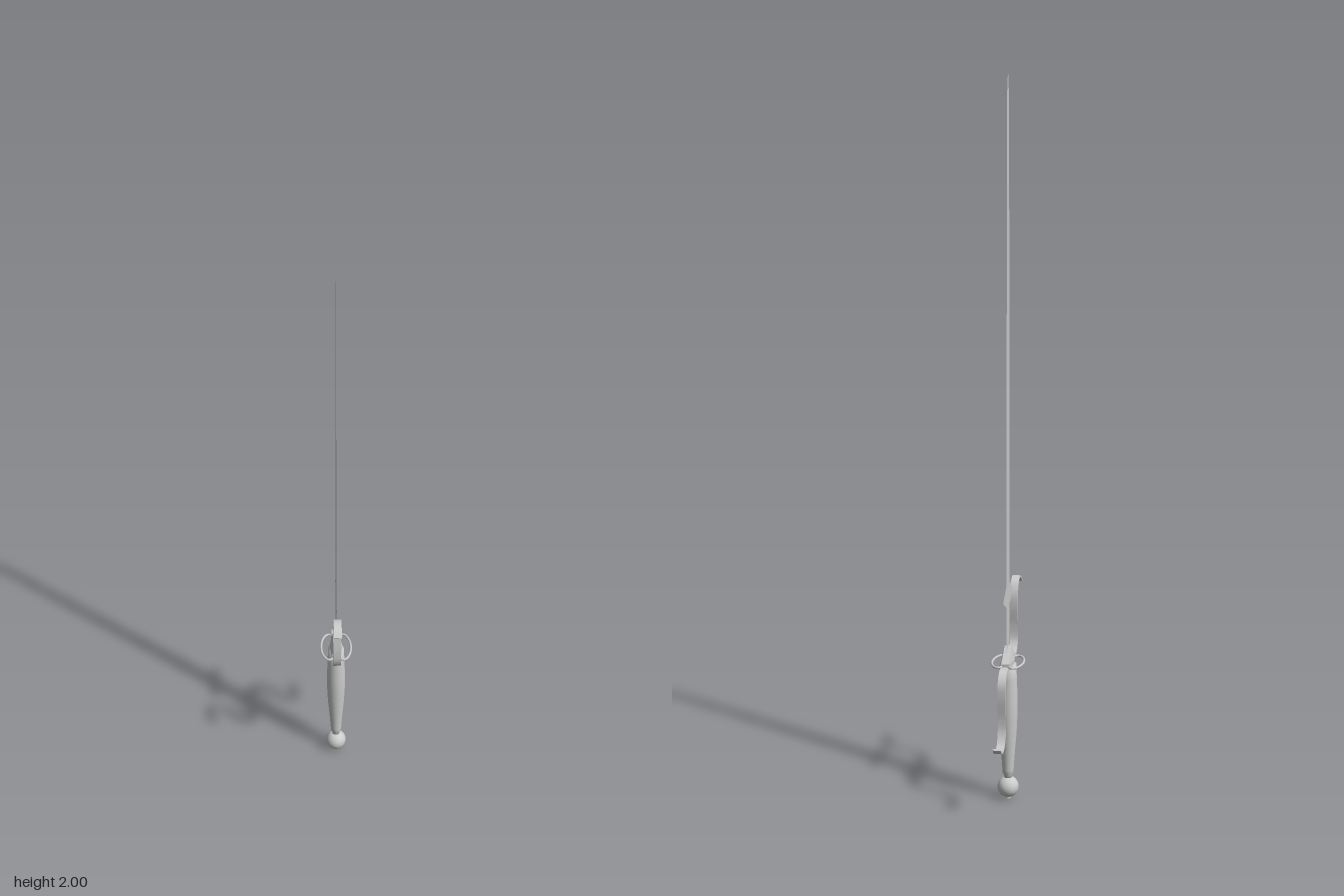
import * as THREE from 'three';

const steel = new THREE.MeshStandardMaterial({ color: 0xcccccc });
const thin = new THREE.MeshStandardMaterial({ color: 0xcccccc, side: THREE.DoubleSide });
const faceted = new THREE.MeshStandardMaterial({ color: 0xcccccc, flatShading: true });
const v2 = ([x, y]) => new THREE.Vector2(x, y);

function part(name, geometry, material = steel) {
  const mesh = new THREE.Mesh(geometry, material);
  mesh.name = name;
  return mesh;
}

// Flat blade in the plane x = 0, outlined from half-widths and heights
function blade() {
  const side = [[0.026, 0.40], [0.026, 0.562], [0.08, 0.588], [0.026, 0.624], [0.019, 1.70], [0.017, 1.93]];
  const mirrored = side.map(([z, y]) => [-z, y]).reverse();
  const shape = new THREE.Shape([...side, [0, 2], ...mirrored].map(v2));
  return part('blade', new THREE.ShapeGeometry(shape).rotateY(-Math.PI / 2), thin);
}

// Flat ribbon of even thickness following an S-curve, extruded across x
function quillon(name) {
  const points = [[0.02, 0.402], [0.06, 0.402], [0.085, 0.406], [0.104, 0.43], [0.107, 0.47],
    [0.101, 0.53], [0.104, 0.568], [0.12, 0.597], [0.143, 0.606], [0.168, 0.6], [0.185, 0.585]];
  const curve = new THREE.SplineCurve(points.map(v2));
  const outer = [], inner = [];
  for (let i = 0; i <= 60; i++) {
    const p = curve.getPoint(i / 60), t = curve.getTangent(i / 60);
    const half = 0.0035 - 0.001 * i / 60;
    outer.push(new THREE.Vector2(p.x - t.y * half, p.y + t.x * half));
    inner.unshift(new THREE.Vector2(p.x + t.y * half, p.y - t.x * half));
  }
  const geometry = new THREE.ExtrudeGeometry(new THREE.Shape([...outer, ...inner]),
    { depth: 0.022, bevelEnabled: false });
  return part(name, geometry.translate(0, 0, -0.011).rotateY(-Math.PI / 2));
}

// Eight-sided guard block rising to a narrow ridge, built from cross-section loops
function guardBlock() {
  const rings = [
    [0.393, 0.011, 0.018, 0.05], [0.408, 0.011, 0.018, 0.05], [0.445, 0.009, 0.01, 0.005]];
  const positions = [], index = [];
  for (const [y, end, waist, z] of rings) {
    for (const [x, w] of [[end, z], [waist, 0], [end, -z], [-end, -z], [-waist, 0], [-end, z]]) {
      positions.push(x, y, w);
    }
  }
  for (let r = 0; r < 2; r++) {
    for (let i = 0; i < 6; i++) {
      const a = r * 6 + i, b = r * 6 + (i + 1) % 6;
      index.push(a, b, b + 6, a, b + 6, a + 6);
    }
  }
  for (let i = 1; i < 5; i++) index.push(0, i + 1, i, 12, 12 + i, 13 + i);
  const geometry = new THREE.BufferGeometry();
  geometry.setAttribute('position', new THREE.Float32BufferAttribute(positions, 3));
  geometry.setIndex(index);
  geometry.computeVertexNormals();
  return part('guardBlock', geometry, faceted);
}

// Thin bowed ring beside the guard
function sideRing(name, s) {
  const half = [[0.01, 0.05], [0.018, 0.057], [0.028, 0.054], [0.037, 0.039], [0.042, 0.02]];
  const path = [...half, [0.0435, 0], ...half.map(([x, z]) => [x, -z]).reverse()];
  const curve = new THREE.CatmullRomCurve3(path.map(([x, z]) => new THREE.Vector3(s * x, 0.4, z)));
  return part(name, new THREE.TubeGeometry(curve, 48, 0.0035, 8, false), thin);
}

export function createModel() {
  const sword = new THREE.Group();
  sword.name = 'sword';

  const upper = quillon('upperQuillon');
  const lower = quillon('lowerQuillon');
  // The lower arm is the upper one turned half way round the guard
  lower.rotation.x = Math.PI;
  lower.position.y = 0.798;

  // Swelling grip with a narrow neck above the pommel
  const gripProfile = [[0, 0.055], [0.011, 0.058], [0.011, 0.07], [0.015, 0.074], [0.016, 0.085],
    [0.019, 0.13], [0.024, 0.19], [0.0268, 0.25], [0.027, 0.29], [0.025, 0.35], [0.023, 0.396], [0, 0.396]];
  const grip = part('grip', new THREE.LatheGeometry(gripProfile.map(v2), 24));

  const pommel = part('pommel', new THREE.SphereGeometry(0.03, 24, 16));
  pommel.position.y = 0.034;
  const button = part('pommelButton', new THREE.CylinderGeometry(0.008, 0.008, 0.008, 16));
  button.position.y = 0.004;

  sword.add(blade(), guardBlock(), upper, lower, grip, pommel, button,
    sideRing('leftRing', 1), sideRing('rightRing', -1));
  return sword;
}
